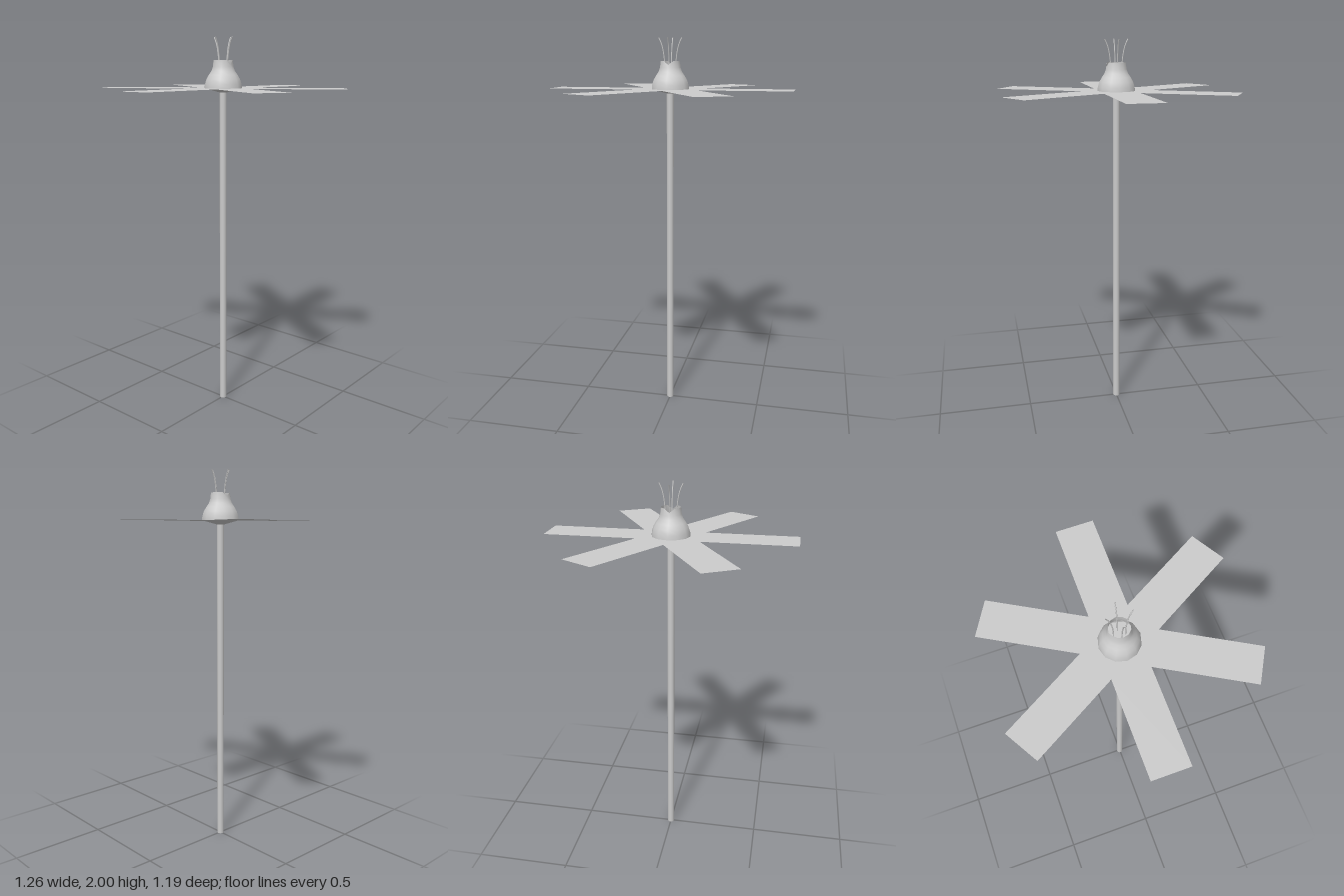
import * as THREE from 'three';
import { toCreasedNormals } from 'three/addons/utils/BufferGeometryUtils.js';

const material = new THREE.MeshStandardMaterial({ color: 0xcccccc, side: THREE.DoubleSide });

const RIM_Y = 1.745;
const SIDES = 12;

function addMesh(parent, name, geometry) {
  const mesh = new THREE.Mesh(geometry, material);
  mesh.name = name;
  parent.add(mesh);
  return mesh;
}

function lathe(points) {
  return new THREE.LatheGeometry(points.map(([r, y]) => new THREE.Vector2(r, y)), SIDES);
}

// Six flat strips joined into one star outline, each strip slightly off its axis
function petalGeometry() {
  const length = 0.63, low = 0.095, high = 0.088;
  const notch = (low + high / 2) / Math.sin(Math.PI / 3);
  const corners = [];
  for (let i = 0; i < 6; i++) {
    for (const [x, y] of [[length, -low], [length, high], [notch, high]]) {
      corners.push(new THREE.Vector2(x, y).rotateAround(new THREE.Vector2(), i * Math.PI / 3));
    }
  }
  return new THREE.ShapeGeometry(new THREE.Shape(corners)).rotateX(-Math.PI / 2);
}

// Bell-shaped cup, open at the top, with a small notch in the lip at front and back
function cupGeometry() {
  const geometry = lathe([
    [0.098, RIM_Y], [0.096, 1.765], [0.088, 1.79], [0.075, 1.812],
    [0.061, 1.832], [0.054, 1.852], [0.05, 1.885],
  ]);
  const pos = geometry.attributes.position;
  for (let i = 0; i < pos.count; i++) {
    if (pos.getY(i) > 1.88 && Math.abs(pos.getX(i)) < 0.01) pos.setY(i, 1.866);
  }
  geometry.computeVertexNormals();
  return toCreasedNormals(geometry, 0.7);
}

export function createModel() {
  const model = new THREE.Group();
  model.name = 'flower';

  // Stem
  const stem = addMesh(model, 'stem', new THREE.CylinderGeometry(0.0185, 0.0185, 1.73, 10, 1, true));
  stem.position.y = 0.865;

  // Flat petals at the widest part of the head
  addMesh(model, 'petals', petalGeometry()).position.y = RIM_Y;

  // Head: shallow cone below, bell-shaped cup above
  addMesh(model, 'headBase', lathe([[0, 1.722], [0.018, 1.723], [0.098, RIM_Y]]));
  addMesh(model, 'cup', cupGeometry());

  // Four thin stamens bending outward from the cup
  const curve = new THREE.CatmullRomCurve3([
    [0.027, 1.8], [0.029, 1.87], [0.036, 1.93], [0.046, 1.97], [0.06, 1.999],
  ].map(([x, y]) => new THREE.Vector3(x, y, 0)));
  const stamenGeometry = new THREE.TubeGeometry(curve, 10, 0.003, 5);
  for (let i = 0; i < 4; i++) {
    addMesh(model, 'stamen' + (i + 1), stamenGeometry).rotation.y = i * Math.PI / 2;
  }

  return model;
}
